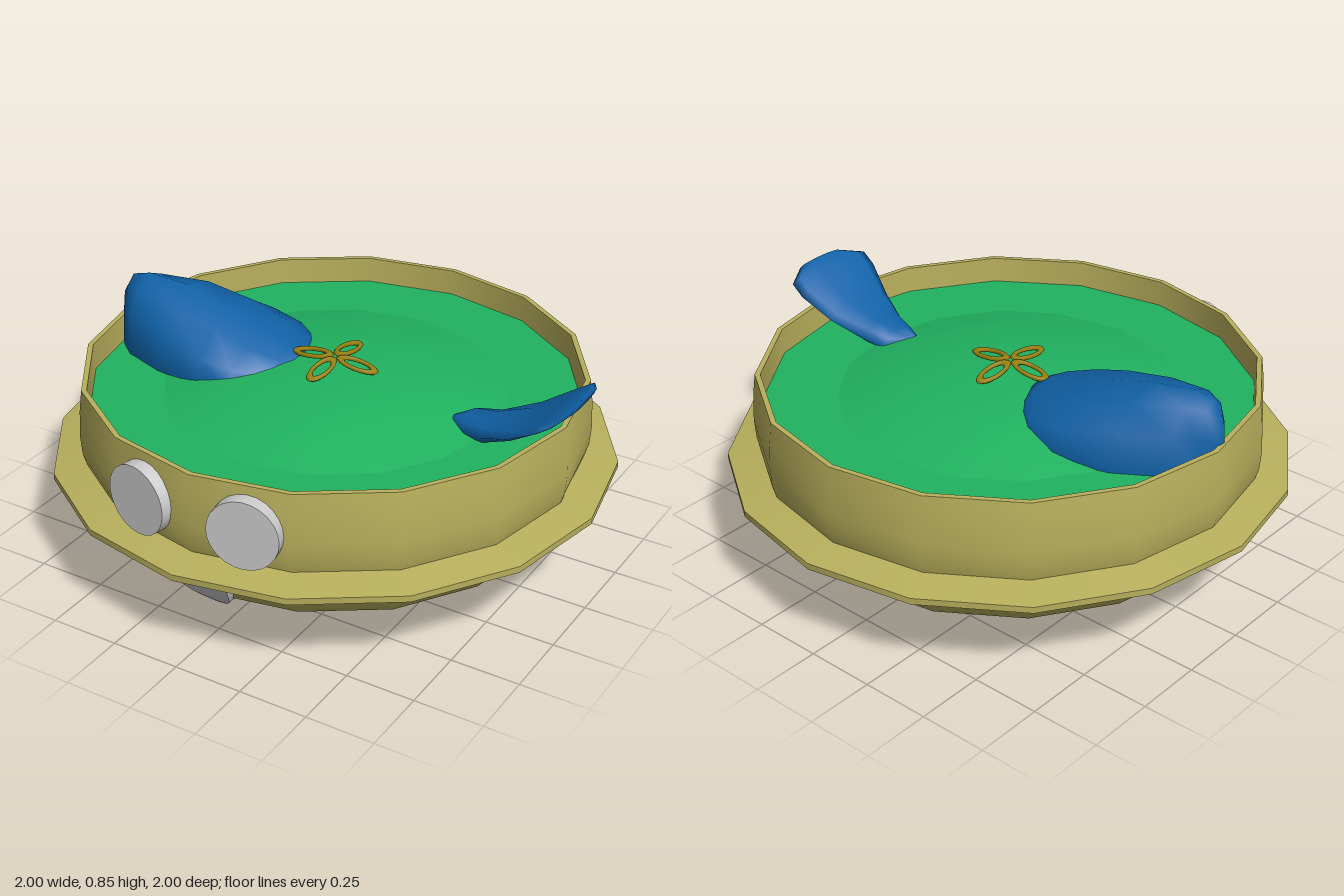
import * as THREE from 'three';

const mat = (color) => new THREE.MeshStandardMaterial({ color, side: THREE.DoubleSide });
const OLIVE = mat(0xb8af5c), GREEN = mat(0x20b260), BLUE = mat(0x1062a8), GOLD = mat(0x9a8412), GREY = mat(0xcccccc);

function add(parent, name, geometry, material) {
  const mesh = new THREE.Mesh(geometry, material);
  mesh.name = name;
  parent.add(mesh);
  return mesh;
}

// 16-sided turned part from [radius, height] pairs
const lathe = (pts) => new THREE.LatheGeometry(pts.map(([r, y]) => new THREE.Vector2(r, y)), 16);

// Closed skin through elliptical sections along x: [x, yCentre, zCentre, halfWidth, halfHeight]
function loft(sections, sides) {
  const pos = [], index = [];
  for (const [x, y, z, w, h] of sections) {
    for (let j = 0; j < sides; j++) {
      const a = (j / sides) * Math.PI * 2;
      pos.push(x, y + h * Math.sin(a), z + w * Math.cos(a));
    }
  }
  const n = sections.length;
  for (let i = 0; i < n - 1; i++) {
    for (let j = 0; j < sides; j++) {
      const a = i * sides + j, b = i * sides + (j + 1) % sides;
      index.push(a, a + sides, b, b, a + sides, b + sides);
    }
  }
  // end caps
  for (let j = 1; j < sides - 1; j++) {
    const e = (n - 1) * sides;
    index.push(0, j, j + 1, e, e + j + 1, e + j);
  }
  const g = new THREE.BufferGeometry();
  g.setAttribute('position', new THREE.Float32BufferAttribute(pos, 3));
  g.setIndex(index);
  g.computeVertexNormals();
  return g;
}

export function createModel() {
  const model = new THREE.Group();
  model.name = 'soupBowl';

  // Bowl: rounded base, flange, wall and rim
  const bowl = new THREE.Group();
  bowl.name = 'bowl';
  model.add(bowl);
  add(bowl, 'base', lathe([[0, 0.005], [0.2, 0.007], [0.4, 0.018], [0.63, 0.07], [0.8, 0.18], [0.88, 0.325]]), OLIVE);
  add(bowl, 'flangeUnderside', lathe([[0.87, 0.322], [1, 0.345]]), OLIVE);
  add(bowl, 'flangeEdge', lathe([[1, 0.345], [1, 0.368]]), OLIVE);
  add(bowl, 'flangeTop', lathe([[1, 0.368], [0.87, 0.392]]), OLIVE);
  add(bowl, 'wall', lathe([[0.88, 0.38], [0.895, 0.43], [0.9, 0.5], [0.895, 0.6], [0.885, 0.68]]), OLIVE);
  add(bowl, 'rim', lathe([[0.885, 0.68], [0.866, 0.68]]), OLIVE);
  add(bowl, 'innerWall', lathe([[0.866, 0.68], [0.862, 0.57]]), OLIVE);

  // Soup: flat ring with a low dome
  add(model, 'soup', lathe([[0.864, 0.585], [0.6, 0.585]]), GREEN);
  add(model, 'soupDome', lathe([[0.612, 0.584], [0.5, 0.614], [0.38, 0.642], [0.25, 0.662], [0.12, 0.673], [0, 0.676]]), GREEN);

  // Eyes: short cylinders facing outward from the wall
  for (const s of [-1, 1]) {
    const g = new THREE.CylinderGeometry(0.125, 0.125, 0.06, 24).rotateX(Math.PI / 2);
    const eye = add(model, s > 0 ? 'leftEye' : 'rightEye', g, GREY);
    eye.position.set(s * 0.2, 0.525, 0.868);
    eye.rotation.y = s * Math.PI / 16;
  }

  // Tongue: thin plate bent to follow the base
  const tongue = new THREE.BoxGeometry(2, 1, 1, 6, 10, 1);
  const p = tongue.attributes.position;
  for (let i = 0; i < p.count; i++) {
    const t = 0.5 - p.getY(i);
    const x = p.getX(i) * 0.115 * Math.sqrt(Math.max(0, 1 - t ** 2.2));
    const z = 0.885 - 0.03 * t - 0.105 * t * t - 0.6 * x * x;
    p.setXYZ(i, x, 0.335 - 0.22 * t, z + (p.getZ(i) - 0.5) * 0.04);
  }
  tongue.computeVertexNormals();
  add(model, 'tongue', tongue, GREY);

  // Large blue head rising from the soup
  add(model, 'head', loft([
    [-0.865, 0.6, 0.05, 0.012, 0.16],
    [-0.825, 0.6, 0.045, 0.08, 0.235],
    [-0.76, 0.6, 0.035, 0.145, 0.25],
    [-0.6, 0.6, 0.01, 0.225, 0.23],
    [-0.41, 0.6, 0, 0.272, 0.175],
    [-0.28, 0.6, 0, 0.258, 0.13],
    [-0.18, 0.61, 0, 0.185, 0.085],
    [-0.14, 0.62, 0, 0.09, 0.06],
  ], 12), BLUE);

  // Flat tail sweeping up over the rim
  add(model, 'tail', loft([
    [0.485, 0.59, 0.025, 0.02, 0.035],
    [0.54, 0.595, 0, 0.075, 0.05],
    [0.62, 0.61, 0.005, 0.095, 0.045],
    [0.74, 0.662, 0, 0.145, 0.03],
    [0.85, 0.735, 0.005, 0.185, 0.022],
    [0.9, 0.77, 0.008, 0.185, 0.021],
    [0.94, 0.794, 0.005, 0.105, 0.014],
  ], 10), BLUE);

  // Flower garnish: four looped petals drooping outward
  const flower = new THREE.Group();
  flower.name = 'flower';
  flower.position.y = 0.693;
  model.add(flower);
  for (let i = 0; i < 4; i++) {
    const g = new THREE.TorusGeometry(0.03, 0.008, 6, 20).rotateX(Math.PI / 2).scale(2.2, 1, 0.95);
    g.rotateZ(-0.12).translate(0.09, 0, 0).rotateY(i * Math.PI / 2);
    add(flower, 'petal', g, GOLD);
  }
  return model;
}
